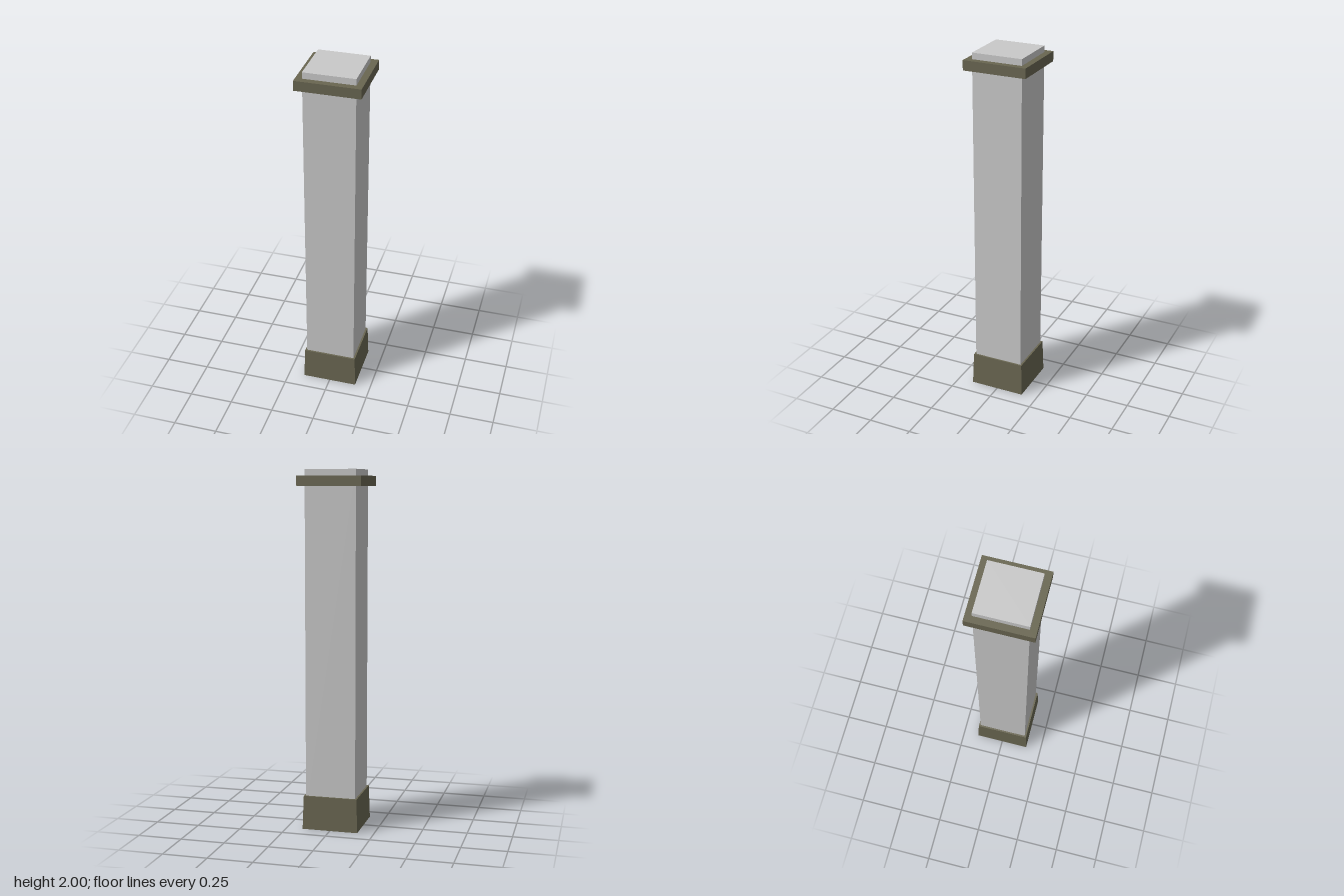
import * as THREE from 'three';

export function createModel() {
  const group = new THREE.Group();
  const stone = new THREE.MeshStandardMaterial({ name: 'paleGrey', color: 0xc9c9c9 });
  const trim = new THREE.MeshStandardMaterial({
    name: 'oliveTrim', color: 0x696651, flatShading: true, side: THREE.DoubleSide,
  });

  const add = (name, geometry, material, y) => {
    const mesh = new THREE.Mesh(geometry, material);
    mesh.name = name;
    mesh.position.y = y;
    group.add(mesh);
    return mesh;
  };
  const square = (path, h) =>
    path.moveTo(-h, -h).lineTo(h, -h).lineTo(h, h).lineTo(-h, h).closePath();

  // Square shaft, its foot recessed inside the hollow base
  const shaftBottom = 0.09, shaftTop = 2, half = 0.142;
  add('shaft', new THREE.BoxGeometry(half * 2, shaftTop - shaftBottom, half * 2),
    stone, (shaftTop + shaftBottom) / 2);

  // Flat collar just below the top
  add('collar', new THREE.BoxGeometry(0.356, 0.055, 0.356), trim, 1.9375);

  // Slightly tapered base, open underneath
  const baseHeight = 0.19, baseTop = 0.152, baseBottom = 0.158;
  const walls = new THREE.CylinderGeometry(
    baseTop * Math.SQRT2, baseBottom * Math.SQRT2, baseHeight, 4, 1, true);
  walls.rotateY(Math.PI / 4);
  add('baseWalls', walls, trim, baseHeight / 2);

  // Rim closing the gap between the base walls and the shaft
  const rim = new THREE.Shape();
  square(rim, baseTop);
  const hole = new THREE.Path();
  square(hole, half);
  rim.holes.push(hole);
  add('baseRim', new THREE.ShapeGeometry(rim).rotateX(-Math.PI / 2), trim, baseHeight);

  return group;
}
